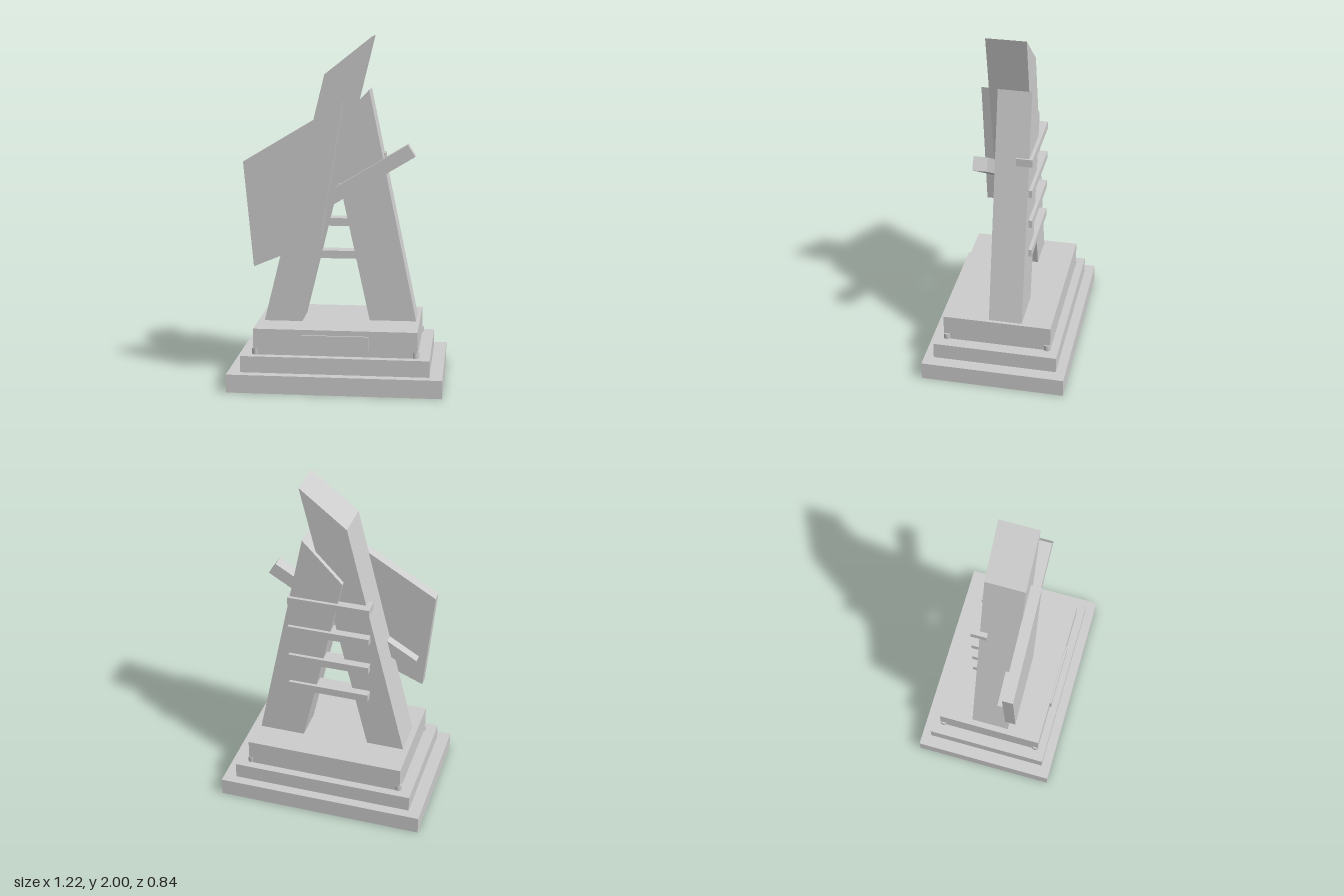
import * as THREE from 'three';

const gray = new THREE.MeshStandardMaterial({ color: 0xcccccc });
gray.name = 'plain gray';

export function createModel() {
  const model = new THREE.Group();
  model.name = 'sculpture';

  const add = (name, geometry) => {
    const mesh = new THREE.Mesh(geometry, gray);
    mesh.name = name;
    model.add(mesh);
    return mesh;
  };

  // Box given by its limits on each axis
  const box = (name, x0, x1, y0, y1, z0, z1) =>
    add(name, new THREE.BoxGeometry(x1 - x0, y1 - y0, z1 - z0))
      .position.set((x0 + x1) / 2, (y0 + y1) / 2, (z0 + z1) / 2);

  // Flat outline in x, y pushed from z0 to z1
  const slab = (name, points, z0, z1) => {
    const shape = new THREE.Shape(points.map(([x, y]) => new THREE.Vector2(x, y)));
    const geometry = new THREE.ExtrudeGeometry(shape, { depth: z1 - z0, bevelEnabled: false });
    add(name, geometry.translate(0, 0, z0));
  };

  // Stepped base with name plate
  box('baseBottom', -0.612, 0.612, 0, 0.105, -0.418, 0.418);
  box('baseMiddle', -0.54, 0.538, 0.105, 0.2, -0.362, 0.362);
  box('plinth', -0.47, 0.467, 0.2, 0.35, -0.315, 0.315);
  box('plate', -0.195, 0.19, 0.243, 0.32, 0.31, 0.326);

  // Small studs at the plinth corners
  for (const x of [-0.458, 0.456]) {
    for (const z of [-0.297, 0.297]) {
      add('cornerStud', new THREE.CylinderGeometry(0.022, 0.022, 0.035, 12)).position.set(x, 0.217, z);
    }
  }

  // Two leaning legs
  slab('tallLeg', [[-0.435, 0.35], [-0.213, 0.35], [0.19, 2], [-0.082, 1.785]], -0.115, 0.112);
  slab('shortLeg', [[0.175, 0.35], [0.446, 0.35], [0.167, 1.695], [-0.065, 1.45]], -0.143, 0.05);

  // Tilted panel and the slanting bar behind it
  slab('panel', [[-0.542, 1.29], [-0.485, 0.683], [-0.098, 0.845], [0.027, 1.63]], 0.11, 0.173);
  slab('crossBar', [[-0.458, 0.879], [-0.415, 0.813], [0.438, 1.325], [0.396, 1.391]], 0.056, 0.136);

  // Ladder rungs across the back
  for (let i = 0; i < 4; i++) {
    const y = 0.69 + i * 0.195;
    box('rung', -0.225, 0.255, y, y + 0.046, -0.163, -0.07);
  }

  return model;
}
